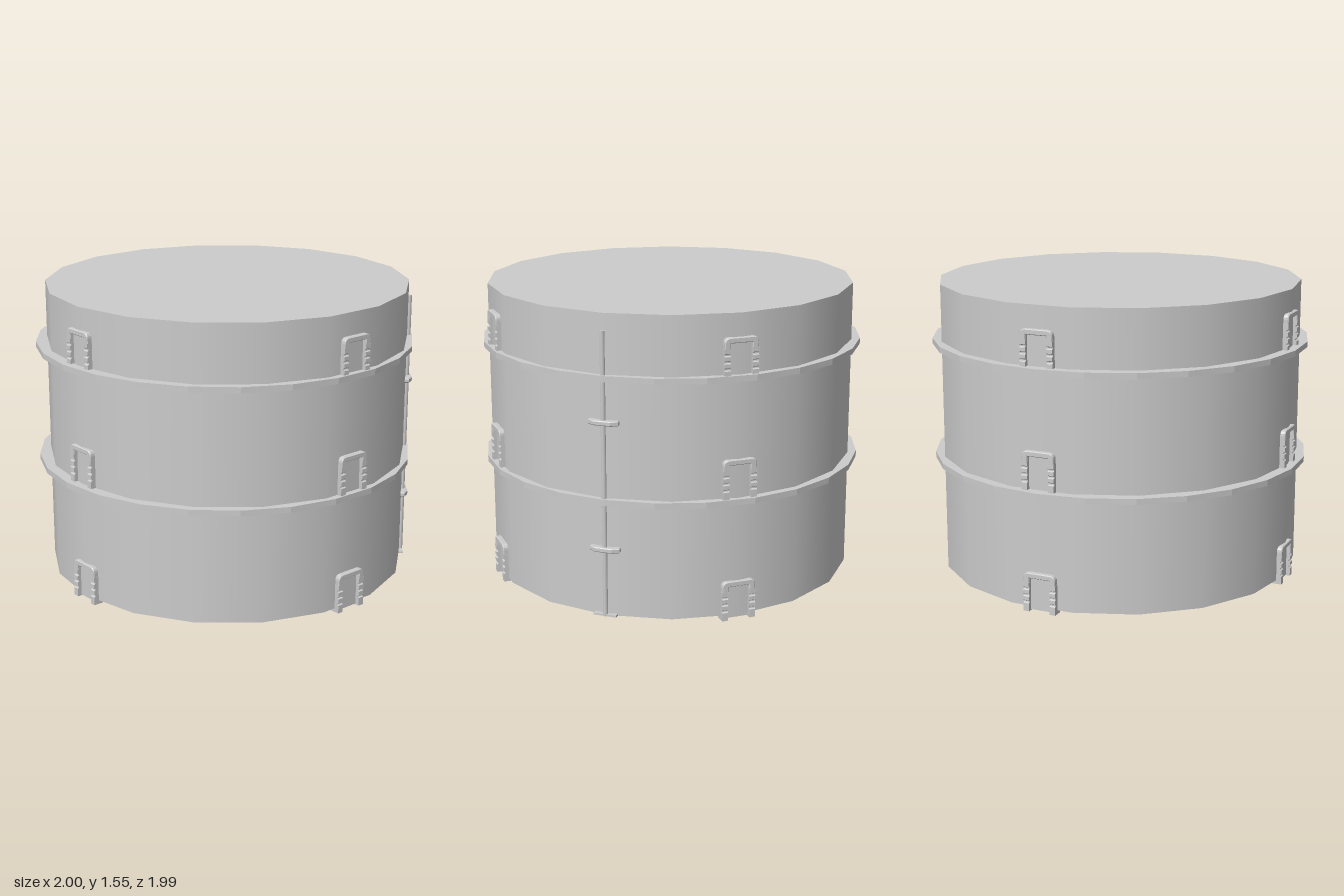
import * as THREE from 'three';

const grey = new THREE.MeshStandardMaterial({ color: 0xcccccc });

function part(name, geometry, parent, x = 0, y = 0, z = 0) {
  const mesh = new THREE.Mesh(geometry, grey);
  mesh.name = name;
  mesh.position.set(x, y, z);
  parent.add(mesh);
  return mesh;
}

function polygon(points) {
  return new THREE.Shape(points.map(([x, y]) => new THREE.Vector2(x, y)));
}

// Flat ledge with a square section
function ledgeGeometry() {
  const section = [[0.92, -0.015], [1, -0.015], [1, 0.015], [0.92, 0.015]];
  const points = [];
  // each corner is split so the edges stay sharp
  section.forEach((p, i) => {
    const q = section[(i + 1) % section.length];
    points.push(new THREE.Vector2(...p), new THREE.Vector2(...p).lerp(new THREE.Vector2(...q), 0.999));
  });
  points.push(points[0].clone());
  const geometry = new THREE.LatheGeometry(points, 25, Math.PI).toNonIndexed();
  geometry.computeVertexNormals();
  return geometry;
}

// Rounded door head, open at the bottom
function headGeometry() {
  const w = 0.084, t = 0.2, r = 0.025, inner = 0.06;
  const s = new THREE.Shape();
  s.moveTo(-w, 0.15);
  s.lineTo(-inner, 0.15);
  s.lineTo(-inner, 0.18);
  s.lineTo(inner, 0.18);
  s.lineTo(inner, 0.15);
  s.lineTo(w, 0.15);
  s.lineTo(w, t - r);
  s.quadraticCurveTo(w, t, w - r, t);
  s.lineTo(-w + r, t);
  s.quadraticCurveTo(-w, t, -w, t - r);
  return new THREE.ExtrudeGeometry(s, {
    depth: 0.045, bevelThickness: 0.005, bevelSize: 0.004, bevelSegments: 1, curveSegments: 4,
  });
}

// Door jamb: a depth profile with shallow notches, extruded sideways
function jambGeometry() {
  const front = 0.972, notch = 0.964;
  const profile = [[0.92, 0], [front, 0]];
  for (const y of [0.05, 0.085, 0.12]) {
    profile.push([front, y - 0.008], [notch, y - 0.003], [notch, y + 0.003], [front, y + 0.008]);
  }
  profile.push([front, 0.152], [0.92, 0.152]);
  const geometry = new THREE.ExtrudeGeometry(polygon(profile), { depth: 0.032, bevelEnabled: false });
  geometry.rotateY(-Math.PI / 2);
  return geometry.translate(0.016, 0, 0);
}

export function createModel() {
  const model = new THREE.Group();
  model.name = 'roundTower';

  // Faceted drum, slightly off the centre of the ledges
  const tower = new THREE.Group();
  tower.name = 'tower';
  tower.position.set(0.01, 0, 0.01);
  model.add(tower);
  part('drum', new THREE.CylinderGeometry(0.96, 0.96, 1.535, 18, 1, false, Math.PI / 2), tower, 0, 0.7875, 0);

  // Two ledges
  const ledge = ledgeGeometry();
  for (const y of [0.62, 1.24]) part('ledge', ledge, model, 0, y, 0);

  // Doorways: four on each storey
  const head = headGeometry();
  const jamb = jambGeometry();
  const panel = new THREE.BoxGeometry(0.124, 0.18, 0.03);
  for (const base of [0, 0.63, 1.235]) {
    for (let i = 0; i < 4; i++) {
      const doorway = new THREE.Group();
      doorway.name = 'doorway';
      doorway.position.y = base;
      doorway.rotation.y = i * Math.PI / 2;
      part('doorHead', head, doorway, 0, 0, 0.922);
      for (const side of [-1, 1]) part('doorJamb', jamb, doorway, side * 0.073, 0, 0);
      part('doorPanel', panel, doorway, 0, 0.095, 0.935);
      tower.add(doorway);
    }
  }

  // Drainpipe on the front left corner, with brackets and a foot
  const drain = new THREE.Group();
  drain.name = 'drain';
  drain.rotation.y = THREE.MathUtils.degToRad(50);
  tower.add(drain);
  part('pipe', new THREE.CylinderGeometry(0.013, 0.013, 1.45, 8), drain, 0, 0.745, 0.965);
  const outline = polygon([[-0.075, 0.02], [-0.075, -0.012], [-0.045, -0.03], [0.045, -0.03], [0.075, -0.012], [0.075, 0.02]]);
  const bracket = new THREE.ExtrudeGeometry(outline, {
    depth: 0.016, bevelThickness: 0.004, bevelSize: 0.003, bevelSegments: 1,
  });
  bracket.rotateX(-Math.PI / 2);
  for (const y of [0.364, 1.012]) part('bracket', bracket, drain, 0, y, 0.955);
  part('pipeFoot', new THREE.BoxGeometry(0.12, 0.01, 0.04), drain, 0, 0.025, 0.955);

  return model;
}
